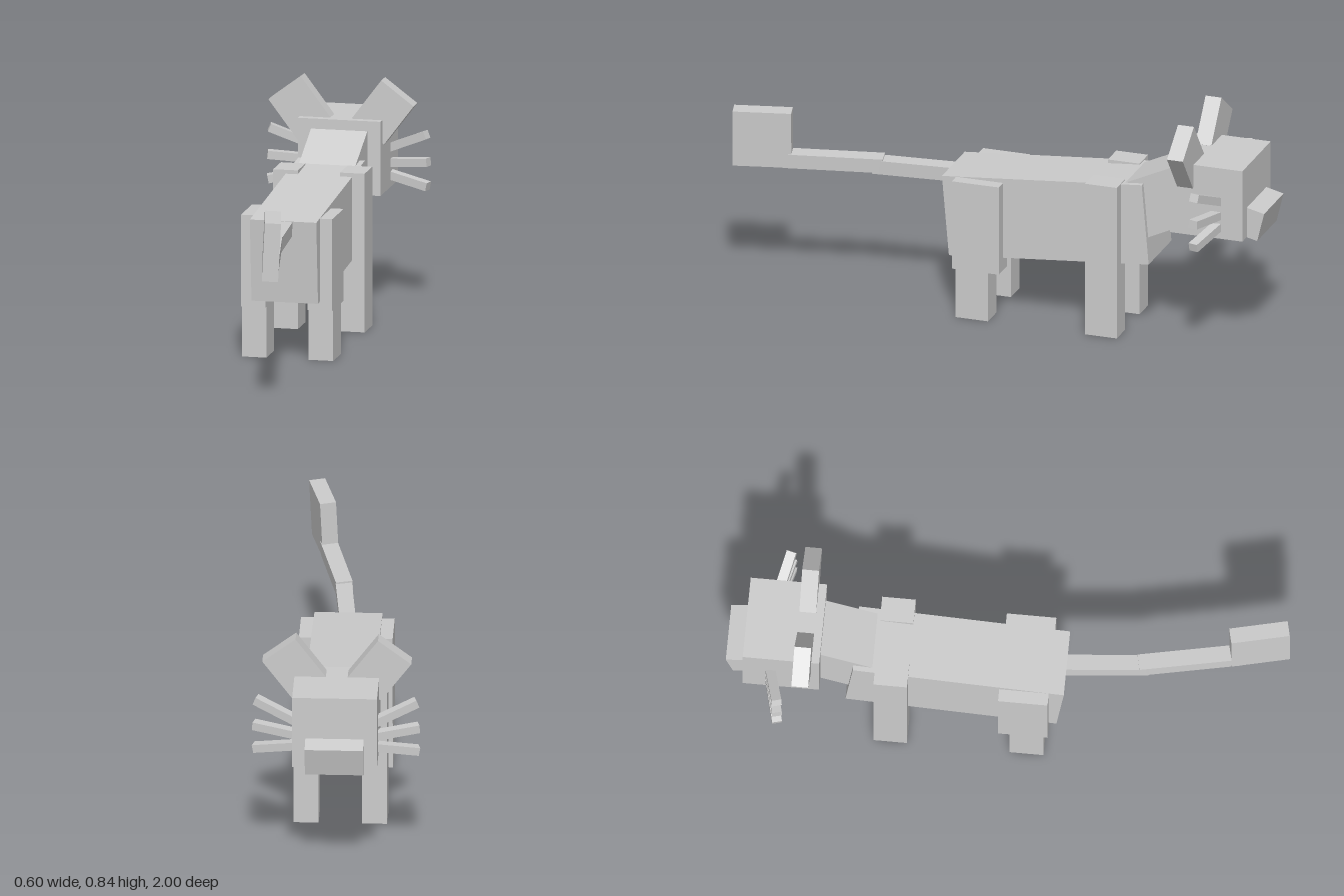
import * as THREE from 'three';

const material = new THREE.MeshStandardMaterial({ color: 0xcccccc, flatShading: true });

// Adds a box: size, centre and rotation are [x, y, z]
function box(parent, name, size, position, rotation = [0, 0, 0]) {
  const mesh = new THREE.Mesh(new THREE.BoxGeometry(...size), material);
  mesh.name = name;
  mesh.position.set(...position);
  mesh.rotation.set(...rotation);
  parent.add(mesh);
  return mesh;
}

export function createModel() {
  const cat = new THREE.Group();
  cat.name = 'blockCat';

  // Trunk, neck and head; the animal looks towards -z
  box(cat, 'body', [0.243, 0.302, 0.757], [0, 0.398, -0.18], [0.087, 0, 0]);
  box(cat, 'neck', [0.206, 0.216, 0.3], [0, 0.503, -0.576], [0.437, 0, 0]);
  box(cat, 'head', [0.302, 0.27, 0.273], [0, 0.564, -0.798]);
  box(cat, 'snout', [0.208, 0.11, 0.1], [0, 0.484, -0.938], [-0.24, 0, 0]);

  // Tail: two slim segments and an upright tuft
  box(cat, 'tailBase', [0.058, 0.052, 0.36], [0.014, 0.488, 0.32], [0, 0.09, -0.04]);
  box(cat, 'tailMiddle', [0.06, 0.053, 0.36], [0.061, 0.494, 0.64], [0, 0.2, -0.05]);
  box(cat, 'tailTuft', [0.058, 0.212, 0.21], [0.117, 0.574, 0.888], [0, 0.23, -0.05]);

  // Paired parts
  for (const [side, s] of [['left', -1], ['right', 1]]) {
    const limbs = new THREE.Group();
    limbs.name = `${side}Legs`;
    cat.add(limbs);
    box(limbs, 'frontLeg', [0.09, 0.578, 0.12], [s * 0.122, 0.289, -0.406]);
    box(limbs, 'backThigh', [0.09, 0.335, 0.177], [s * 0.122, 0.352, 0.068]);
    box(limbs, 'backLowerLeg', [0.09, 0.2, 0.122], [s * 0.122, 0.1, 0.081]);

    box(cat, `${side}Ear`, [0.148, 0.18, 0.06], [s * 0.152, 0.727, -0.72], [0, 0, -s * 0.645]);

    // Whiskers fan out and sweep back
    for (const [name, y, tilt] of [
      ['upperWhisker', 0.592, 0.39],
      ['middleWhisker', 0.521, 0.1],
      ['lowerWhisker', 0.461, -0.19],
    ]) {
      box(cat, `${side}${name}`, [0.2, 0.03, 0.035], [s * 0.198, y, -0.823], [0, -s * 0.25, s * tilt]);
    }
  }
  return cat;
}
